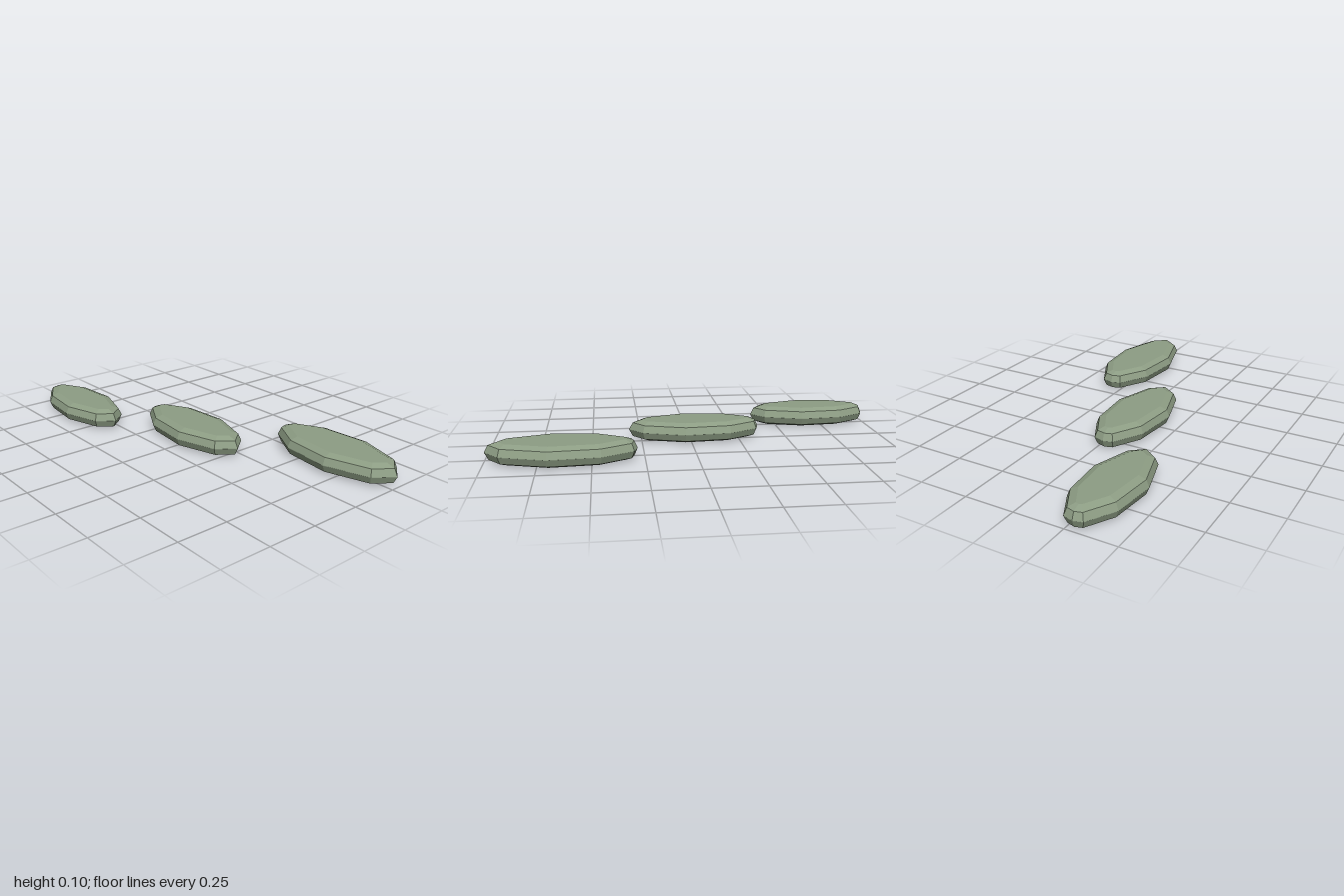
import * as THREE from 'three';

// Plan outline of a stone, x and z relative to its centre
const OUTLINE = [
  [0.062, -0.16], [-0.186, -0.142], [-0.338, -0.062], [-0.355, -0.005], [-0.34, 0.045],
  [-0.186, 0.134], [0.062, 0.16], [0.284, 0.094], [0.355, -0.002], [0.284, -0.09],
];
const HEIGHT = 0.1;
const BEVEL = 0.049;

// Flat pebble: outline extruded upward with a two-step rounded rim
function makeStone(name, x, z, scale, material) {
  const shape = new THREE.Shape(OUTLINE.map(([px, pz]) => new THREE.Vector2(px * scale, -pz * scale)));
  const geometry = new THREE.ExtrudeGeometry(shape, {
    depth: HEIGHT - 2 * BEVEL,
    bevelEnabled: true,
    bevelThickness: BEVEL,
    bevelSize: BEVEL,
    bevelOffset: -BEVEL,
    bevelSegments: 2,
  });
  geometry.rotateX(-Math.PI / 2);
  geometry.translate(0, BEVEL, 0);
  const stone = new THREE.Mesh(geometry, material);
  stone.name = name;
  stone.position.set(x, 0, z);
  return stone;
}

export function createModel() {
  const model = new THREE.Group();
  model.name = 'steppingStones';
  const mossyStone = new THREE.MeshStandardMaterial({ color: 0x8d9d84, flatShading: true });
  mossyStone.name = 'mossyStone';

  // Diagonal row, growing toward the back
  model.add(
    makeStone('smallStone', -0.685, 0.295, 0.888, mossyStone),
    makeStone('middleStone', -0.023, 0.048, 0.944, mossyStone),
    makeStone('largeStone', 0.64, -0.283, 1, mossyStone),
  );
  return model;
}
